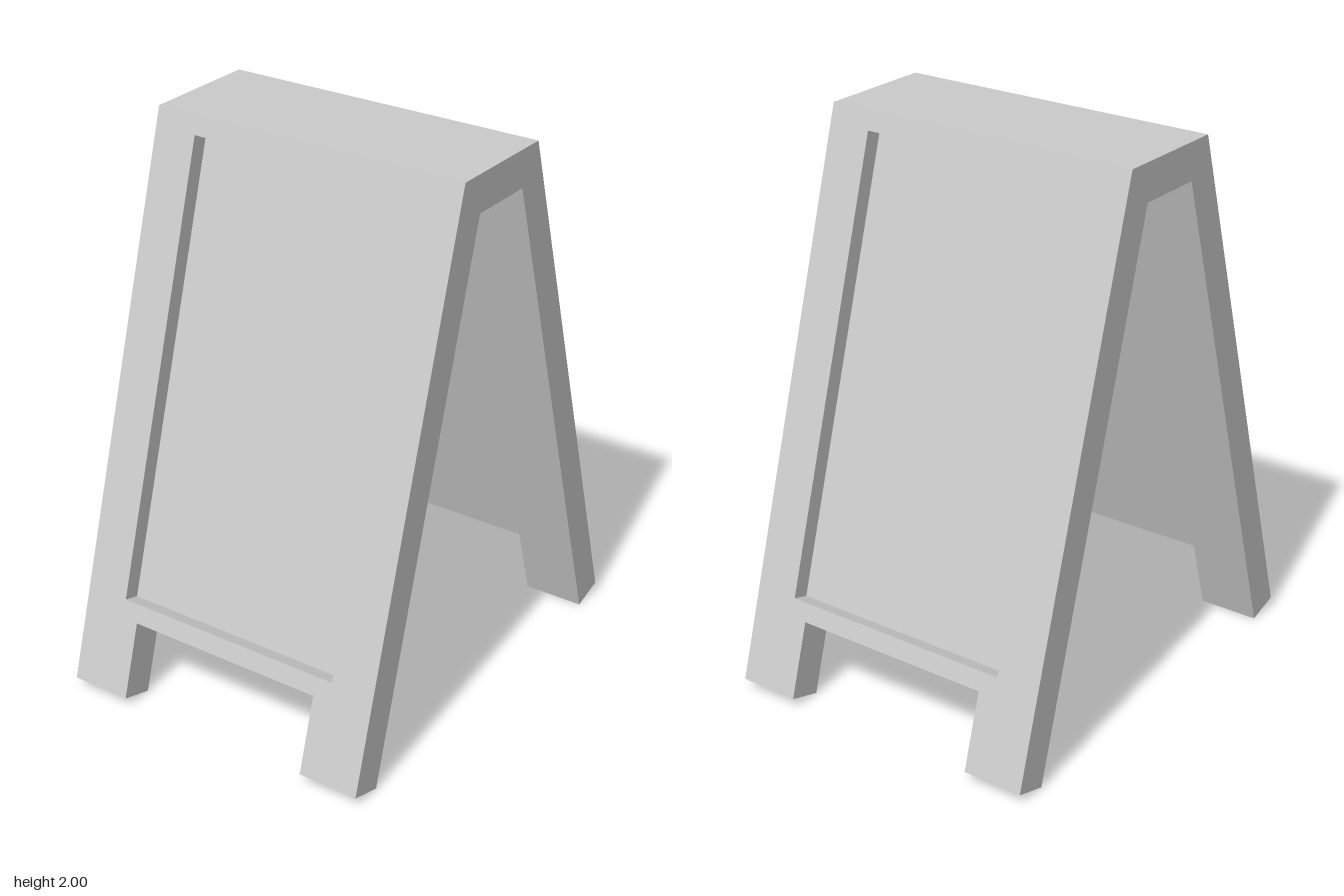
import * as THREE from 'three';

const S = 0.2838, C = 0.9589;      // lean of each board (sin, cos)
const T = 0.125, RECESS = 0.062;   // board thickness, depth of the sunken panel
const FOOT_Y = T * S, FOOT_Z = 0.8;
const H = (2 - FOOT_Y) / C;        // board length along the slope
const MITRE = 0.8136;              // how the top end shortens toward the inside

// board coordinates (x, distance up the slope, distance outward) to model space
function place([x, v], n) {
  if (v === H) v += n * MITRE;
  return new THREE.Vector3(x, FOOT_Y + v * C + n * S, FOOT_Z - v * S + n * C);
}

function meshFrom(points, name, material) {
  const geometry = new THREE.BufferGeometry().setFromPoints(points);
  geometry.computeVertexNormals();
  const mesh = new THREE.Mesh(geometry, material);
  mesh.name = name;
  return mesh;
}

const quad = (a, b, c, d) => [a, b, c, a, c, d];

// flat face in the board plane
function face(outline, holes, n, flip = false) {
  const v2 = (list) => list.map(([x, y]) => new THREE.Vector2(x, y));
  const all = [outline, ...holes].flat();
  const tris = THREE.ShapeUtils.triangulateShape(v2(outline), holes.map(v2));
  return tris.flatMap((t) => (flip ? [...t].reverse() : t).map((i) => place(all[i], n)));
}

// walls along an outline, leaving the mitred top open where the cap joins
function walls(outline, depth) {
  return outline.flatMap((a, i) => {
    const b = outline[(i + 1) % outline.length];
    if (a[1] === H && b[1] === H) return [];
    return quad(place(a, 0), place(a, -depth), place(b, -depth), place(b, 0));
  });
}

export function createModel() {
  const group = new THREE.Group();
  group.name = 'sandwichBoard';
  const material = new THREE.MeshStandardMaterial({ color: 0xcccccc, flatShading: true });

  const W = 0.6, LEG = 0.375, NOTCH = 0.281;
  const outline = [
    [-W, 0], [-LEG, 0], [-LEG, NOTCH], [LEG, NOTCH],
    [LEG, 0], [W, 0], [W, H], [-W, H],
  ];
  const PX = 0.437, P0 = 0.349, P1 = 1.981;
  const opening = [[-PX, P0], [-PX, P1], [PX, P1], [PX, P0]];
  const panel = [...opening].reverse();

  // two leaning boards, each a frame with legs around a sunken panel
  for (const side of ['front', 'back']) {
    const board = new THREE.Group();
    board.name = side + 'Board';
    board.add(meshFrom([
      ...face(outline, [opening], 0),
      ...face(outline, [], -T, true),
      ...walls(outline, T),
      ...walls(opening, RECESS),
    ], side + 'Frame', material));
    board.add(meshFrom(face(panel, [], -RECESS), side + 'Panel', material));
    if (side === 'back') board.rotation.y = Math.PI;
    group.add(board);
  }

  // cap bridging the mitred tops
  const corners = (x) => {
    const o = place([x, H], 0), i = place([x, H], -T);
    const back = (p) => new THREE.Vector3(p.x, p.y, -p.z);
    return [o, i, back(i), back(o)];
  };
  const [lo, li, lib, lob] = corners(W);
  const [ro, ri, rib, rob] = corners(-W);
  group.add(meshFrom([
    ...quad(ro, lo, lob, rob),   // top
    ...quad(ri, rib, lib, li),   // underside
    ...quad(lo, li, lib, lob),   // left end
    ...quad(ro, rob, rib, ri),   // right end
  ], 'topCap', material));

  return group;
}
